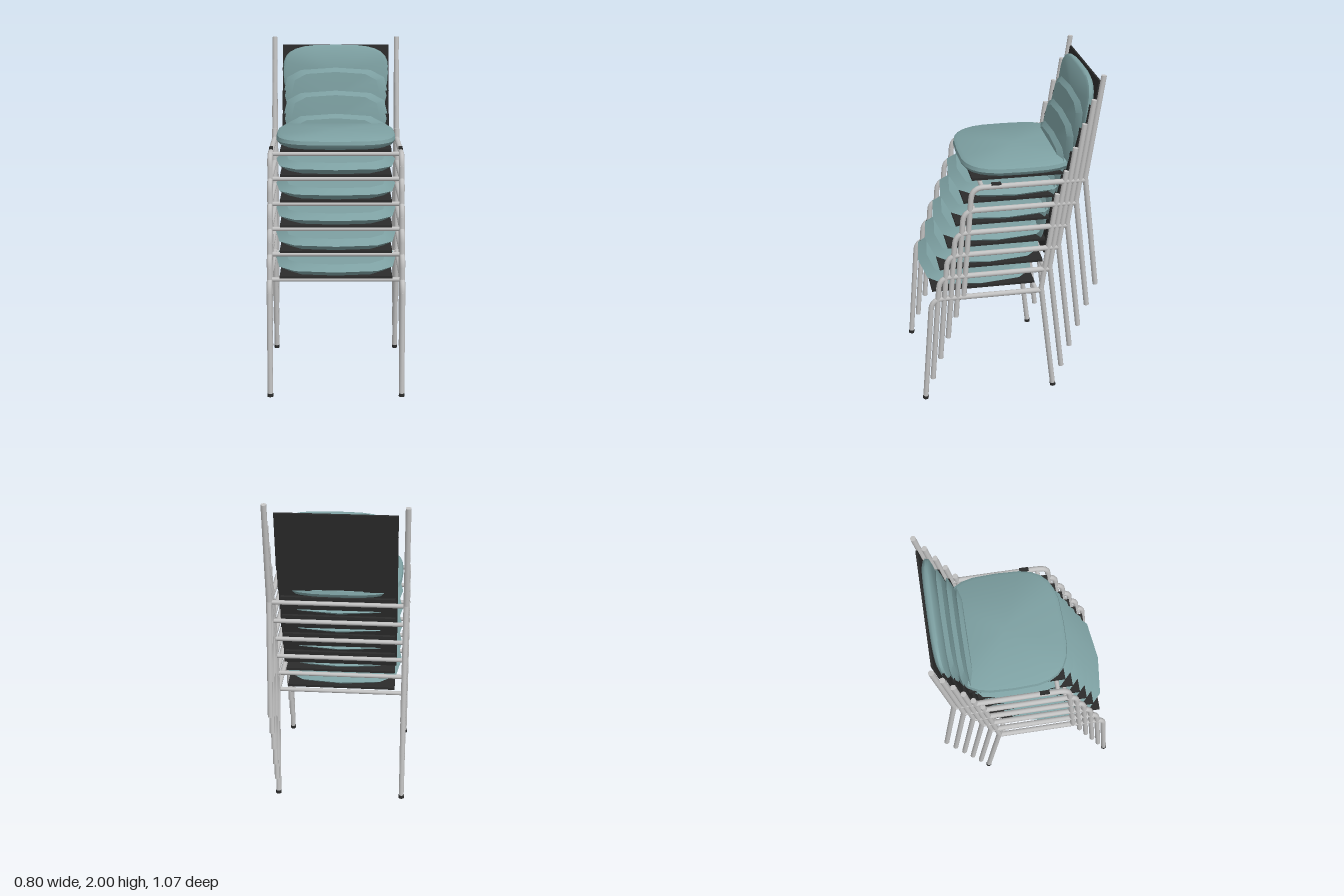
import * as THREE from 'three';
import { toCreasedNormals } from 'three/addons/utils/BufferGeometryUtils.js';

const steel = new THREE.MeshStandardMaterial({ color: 0xc2c2c2 });
steel.name = 'brushed steel';
const fabric = new THREE.MeshStandardMaterial({ color: 0x7da0a2 });
fabric.name = 'teal fabric';
const black = new THREE.MeshStandardMaterial({ color: 0x2b2b2b });
black.name = 'black plastic';

const COUNT = 6, STEP_Y = 0.139, STEP_Z = -0.049;
const TUBE = 0.016, SIDE_X = 0.385, LEAN = 0.141;
const V = (x, y, z) => new THREE.Vector3(x, y, z);

function add(parent, name, geometry, material) {
  const mesh = new THREE.Mesh(geometry, material);
  mesh.name = name;
  parent.add(mesh);
  return mesh;
}

// Straight capped tube between two points
function rod(parent, name, a, b, r = TUBE, material = steel) {
  const mesh = add(parent, name, new THREE.CylinderGeometry(r, r, a.distanceTo(b), 10), material);
  mesh.position.copy(a).lerp(b, 0.5);
  mesh.quaternion.setFromUnitVectors(V(0, 1, 0), b.clone().sub(a).normalize());
  return mesh;
}

// Squircle pillow lofted through rings of [scale, height]
function cushionGeometry(halfX, halfZ, sides, rings, crease) {
  const pos = [], index = [], e = 2 / 3.3;
  const bulge = (v) => Math.sign(v) * Math.abs(v) ** e;
  rings.forEach(([s, y], r) => {
    for (let j = 0; j < sides; j++) {
      const t = (j / sides) * Math.PI * 2;
      pos.push(halfX * s * bulge(Math.cos(t)), y, halfZ * s * bulge(Math.sin(t)));
      if (r === rings.length - 1) continue;
      const a = r * sides + j, b = r * sides + (j + 1) % sides;
      if (r > 0) index.push(a, a + sides, b);
      else index.push(b, a + sides, b + sides);
      if (r > 0 && r < rings.length - 2) index.push(b, a + sides, b + sides);
    }
  });
  const g = new THREE.BufferGeometry();
  g.setAttribute('position', new THREE.Float32BufferAttribute(pos, 3));
  g.setIndex(index);
  return toCreasedNormals(g, crease);
}

// The exposed chair has rounded cushions, the ones below are faceted
function cushion(halfX, halfZ, h, rounded) {
  return rounded
    ? cushionGeometry(halfX, halfZ, 28, [[0, -h], [0.9, -h], [0.97, -h * 0.65], [1, -h * 0.1],
      [0.985, h * 0.5], [0.93, h * 0.85], [0, h]], 0.7)
    : cushionGeometry(halfX, halfZ, 12, [[0, -h], [0.84, -h], [1, 0], [0.84, h * 0.9], [0, h]], 0.4);
}

function buildChair(isBottom, isTop) {
  const chair = new THREE.Group();

  // Side frames
  for (const [side, s] of [['left', 1], ['right', -1]]) {
    const x = s * SIDE_X, frame = new THREE.Group();
    frame.name = side + 'Frame';
    chair.add(frame);
    const frontFoot = V(x, 0, 0.52), shoulder = V(x, 0.62, 0.471);
    const corner = V(x, 0.685, 0.464), railFront = V(x, 0.685, 0.4);
    rod(frame, 'frontLeg', frontFoot, shoulder);
    add(frame, 'frontBend', new THREE.TubeGeometry(
      new THREE.QuadraticBezierCurve3(shoulder, corner, railFront), 6, TUBE, 10), steel);
    const backFoot = V(x, 0, -0.275), kink = V(x, 0.7, -0.19);
    rod(frame, 'sideRail', railFront, V(x, 0.685, -0.188));
    rod(frame, 'backLeg', backFoot, kink);
    rod(frame, 'backPost', kink, V(x, 1.303, -0.275));
    add(frame, 'postJoint', new THREE.SphereGeometry(TUBE, 10, 8), steel).position.copy(kink);

    // Rubber feet, only where the stack meets the floor
    if (isBottom) {
      rod(frame, 'frontFoot', frontFoot, V(x, 0.02, 0.518), 0.0175, black);
      rod(frame, 'backFoot', backFoot, V(x, 0.02, -0.273), 0.0175, black);
    }
    // Stacking bumper on the exposed rail
    if (isTop) {
      add(frame, 'stackingBumper', new THREE.BoxGeometry(0.022, 0.012, 0.055), black)
        .position.set(x, 0.702, 0.327);
    }
  }

  // Cross bars under the seat
  for (const [name, z] of [['frontCrossBar', 0.405], ['backCrossBar', -0.16]]) {
    rod(chair, name, V(-SIDE_X, 0.682, z), V(SIDE_X, 0.682, z), 0.013);
  }

  // Seat
  add(chair, 'seatBoard', new THREE.BoxGeometry(0.65, 0.014, 0.615), black)
    .position.set(0, 0.71, 0.147);
  add(chair, 'seatCushion', cushion(0.36, 0.342, 0.035, isTop), fabric)
    .position.set(0, 0.753, 0.157);

  // Backrest, leaning with the posts; local +y faces forward
  const back = new THREE.Group();
  back.name = 'backrest';
  back.position.set(0, 1.08, -0.242);
  back.rotation.x = Math.PI / 2 - LEAN;
  add(back, 'backBoard', new THREE.BoxGeometry(0.67, 0.012, 0.354), black);
  add(back, 'backCushion', cushion(0.333, 0.175, 0.024, isTop), fabric).position.y = 0.03;
  chair.add(back);
  return chair;
}

export function createModel() {
  const model = new THREE.Group();
  model.name = 'chairStack';
  for (let i = 0; i < COUNT; i++) {
    const chair = buildChair(i === 0, i === COUNT - 1);
    chair.name = 'chair' + (i + 1);
    chair.position.set(0, i * STEP_Y, i * STEP_Z);
    model.add(chair);
  }
  return model;
}
